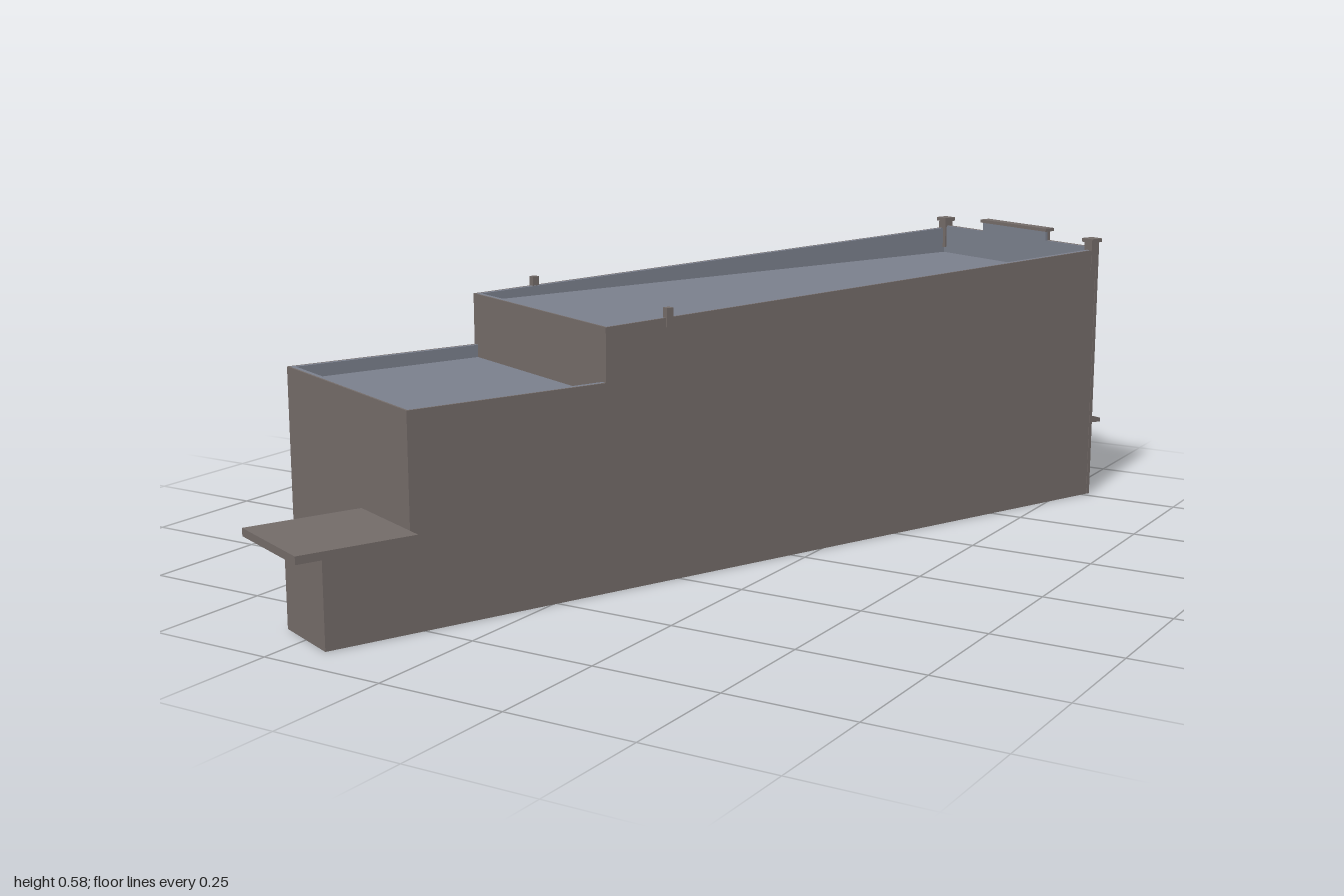
import * as THREE from 'three';

export function createModel() {
  const brick = new THREE.MeshStandardMaterial({ color: 0x736b68 });
  brick.name = 'brownWall';
  const roofing = new THREE.MeshStandardMaterial({ color: 0x7a7f8c });
  roofing.name = 'blueGreyRoof';

  const root = new THREE.Group();
  root.name = 'building';
  const g = new THREE.Group();
  g.name = 'rotatedBuilding';
  g.rotation.y = -0.406;
  g.position.set(-0.005, 0, -0.0925);
  root.add(g);

  const W = 0.243, L = 0.8375, STEP = 0.43, T = 0.004, P = 0.009;
  const ROOF = 0.488, LOW = 0.375;

  const add = (name, geo, mat) => {
    const m = new THREE.Mesh(geo, mat);
    m.name = name;
    g.add(m);
    return m;
  };
  // box given by its limits
  const box = (name, mat, x0, x1, y0, y1, z0, z1) => {
    const m = add(name, new THREE.BoxGeometry(x1 - x0, y1 - y0, z1 - z0), mat);
    m.position.set((x0 + x1) / 2, (y0 + y1) / 2, (z0 + z1) / 2);
    return m;
  };
  const polygon = (pts) => new THREE.Shape(pts.map(([a, b]) => new THREE.Vector2(a, b)));
  // side profile in (z, y), extruded across x from x0 to x1
  const sidePlate = (name, mat, pts, x0, x1) => {
    const geo = new THREE.ExtrudeGeometry(polygon(pts), { depth: x1 - x0, bevelEnabled: false });
    geo.rotateY(-Math.PI / 2);
    geo.translate(x1, 0, 0);
    return add(name, geo, mat);
  };

  // long side walls and the lining of their parapets
  const wall = [[-L, 0], [L, 0], [L, 0.4], [STEP, 0.4], [STEP, 0.503], [-L, 0.545]];
  const highLining = [[-L + 0.01, ROOF], [STEP - T, ROOF], [STEP - T, 0.503], [-L + 0.01, 0.5447]];
  const lowLining = [[STEP, LOW], [L - T, LOW], [L - T, 0.4], [STEP, 0.4]];
  for (const s of [-1, 1]) {
    const span = (a, b) => (s > 0 ? [a, b] : [-b, -a]);
    sidePlate('sideWall', brick, wall, ...span(W - T, W));
    sidePlate('highParapetLining', roofing, highLining, ...span(W - T - P, W - T));
    sidePlate('lowParapetLining', roofing, lowLining, ...span(W - T - P, W - T));
    // small chimney on the parapet
    box('chimney', brick, s * 0.24 - 0.007, s * 0.24 + 0.007, 0.49, 0.526, 0.283, 0.297);
  }

  // front wall, step wall and their linings
  const I = W - T;
  box('frontWall', brick, -I, I, 0, 0.4, L - T, L);
  box('frontParapetLining', roofing, -I + P, I - P, LOW, 0.4, L - T - P, L - T);
  box('stepWall', brick, -I, I, LOW - 0.004, 0.503, STEP - T, STEP);
  box('stepParapetLining', roofing, -I + P, I - P, 0.43, 0.503, STEP - T - P, STEP - T);

  // flat roofs, open underneath
  box('highRoof', roofing, -I, I, ROOF - 0.004, ROOF, -L + 0.012, STEP - T);
  box('lowRoof', roofing, -I, I, LOW - 0.004, LOW, STEP, L - T);

  // back facade with recessed windows, sign strip and vents
  const facade = polygon([[-W + T, 0], [W - T, 0], [W - T, 0.55], [0.1, 0.55], [0.1, 0.57],
    [-0.1, 0.57], [-0.1, 0.55], [-W + T, 0.55]]);
  const hole = (cx, w, y0, y1) => facade.holes.push(polygon([
    [cx - w / 2, y0], [cx - w / 2, y1], [cx + w / 2, y1], [cx + w / 2, y0]]));
  for (const x of [-0.17, -0.062, 0.062, 0.17]) {
    hole(x, 0.066, 0.318, 0.457);
    hole(x, 0.02, 0.497, 0.508);
  }
  hole(0, 0.42, 0.26, 0.288);
  const facadeGeo = new THREE.ExtrudeGeometry(facade, { depth: 0.008, bevelEnabled: false });
  facadeGeo.translate(0, 0, -L);
  add('backFacade', facadeGeo, brick);
  box('facadeBacking', brick, -I, I, 0, ROOF, -L + 0.008, -L + 0.012);
  box('backParapetLining', roofing, -I, I, ROOF, 0.55, -L + 0.008, -L + 0.014);
  box('raisedParapetLining', roofing, -0.1, 0.1, 0.55, 0.57, -L + 0.008, -L + 0.014);
  box('parapetCap', brick, -0.104, 0.104, 0.57, 0.577, -L - 0.007, -L + 0.018);

  // corner posts with caps
  for (const s of [-1, 1]) {
    const c = s * (W - 0.01);
    box('cornerPost', brick, c - 0.011, c + 0.011, 0, 0.562, -L - 0.004, -L + 0.004);
    box('postTop', brick, c - 0.011, c + 0.011, 0.5, 0.562, -L - 0.004, -L + 0.018);
    box('postCap', brick, c - 0.015, c + 0.015, 0.561, 0.569, -L - 0.008, -L + 0.022);
  }

  // sloping canopy over the back entrance
  sidePlate('backCanopy', brick, [[-L - 0.065, 0.149], [-L, 0.155], [-L, 0.176], [-L - 0.065, 0.158]], -0.211, 0.211);

  // front porch, open underneath, with its slab roof
  const PX = W - 0.152, PZ = 1.005;
  box('porchSideWall', brick, PX, PX + T, 0, 0.173, L, PZ);
  box('porchSideWall', brick, W - T, W, 0, 0.173, L, PZ);
  box('porchFrontWall', brick, PX + T, W - T, 0, 0.173, PZ - T, PZ);
  box('porchSlab', brick, 0.056, 0.273, 0.172, 0.187, L, 1.067);

  return root;
}
